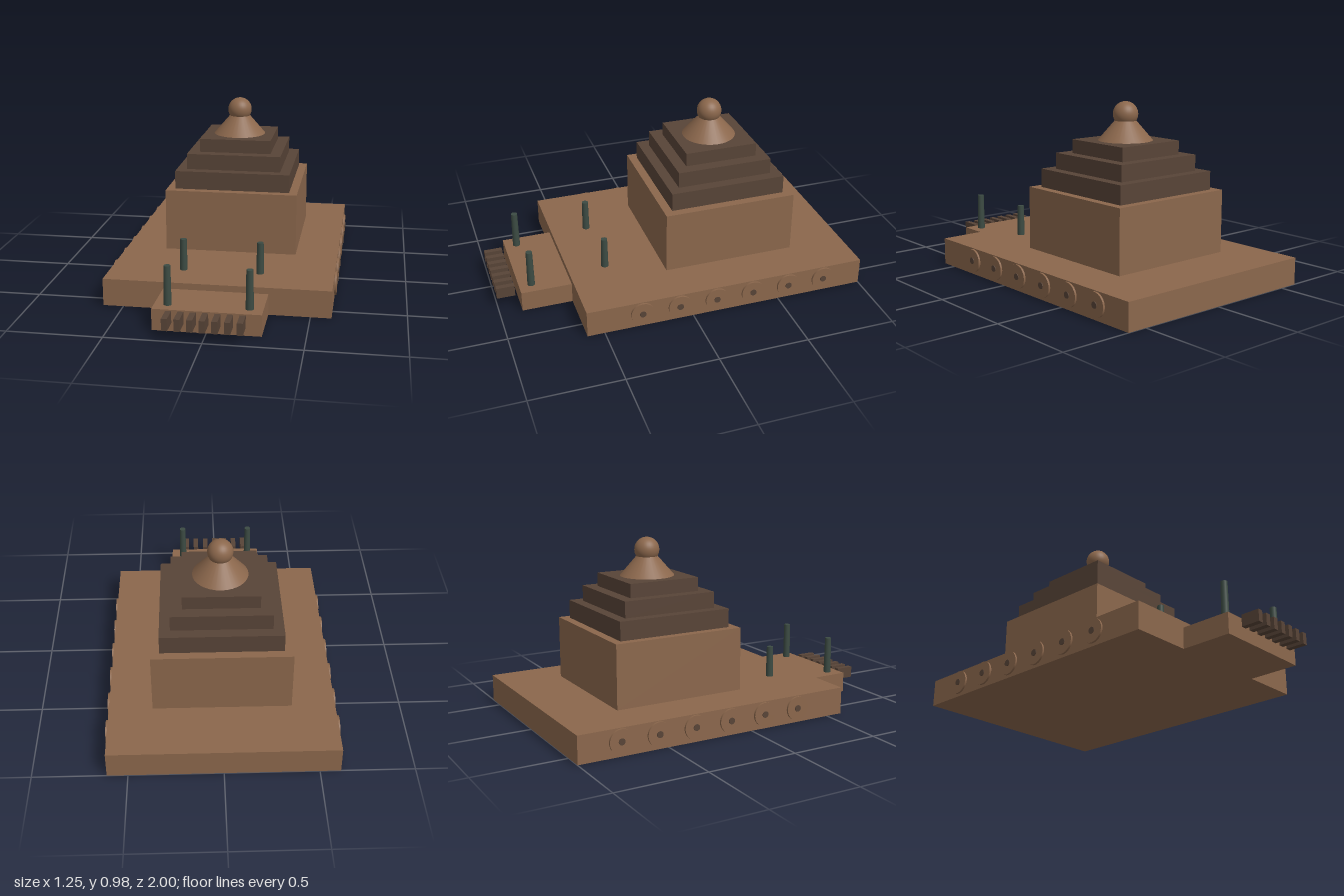
import * as THREE from 'three';

const brown = new THREE.MeshStandardMaterial({ color: 0x8b674c });
const dark = new THREE.MeshStandardMaterial({ color: 0x584437 });
const green = new THREE.MeshStandardMaterial({ color: 0x3c4b43 });

export function createModel() {
  const root = new THREE.Group();

  const add = (name, geometry, material, x, y, z) => {
    const mesh = new THREE.Mesh(geometry, material);
    mesh.name = name;
    mesh.position.set(x, y, z);
    root.add(mesh);
    return mesh;
  };
  // Box given by its width, bottom, top, back and front
  const block = (name, material, w, y0, y1, z0, z1, x = 0) =>
    add(name, new THREE.BoxGeometry(w, y1 - y0, z1 - z0), material, x, (y0 + y1) / 2, (z0 + z1) / 2);

  // Base platform and lower porch
  block('platform', brown, 1.22, 0, 0.15, -1, 0.595);
  block('porch', brown, 0.56, 0, 0.115, 0.595, 0.876);

  // Row of small blocks in front of the porch
  for (let i = -3; i <= 3; i++) block('frontBlock', dark, 0.03, 0.054, 0.118, 0.898, 1, i * 0.0625);

  // Shrine hall with stepped roof
  const cz = -0.298;
  block('hall', brown, 0.748, 0.156, 0.505, cz - 0.374, cz + 0.374);
  const tiers = [[0.327, 0.505, 0.608], [0.269, 0.608, 0.697], [0.205, 0.697, 0.773]];
  for (const [h, y0, y1] of tiers) block('roofTier', dark, h * 2, y0, y1, cz - h, cz + h);

  // Conical cap and finial ball
  add('cap', new THREE.CylinderGeometry(0.058, 0.15, 0.107, 32), brown, 0, 0.8265, cz);
  add('finial', new THREE.SphereGeometry(0.069, 32, 20), brown, 0, 0.915, cz);

  for (const side of [-1, 1]) {
    // Slightly tapered pillars on porch and platform
    for (const [z, y0] of [[0.807, 0.115], [0.386, 0.15]]) {
      const h = 0.325 - y0;
      add('pillar', new THREE.CylinderGeometry(0.018, 0.021, h, 12), green, side * 0.21, y0 + h / 2, z);
    }
    // Wheel discs with hubs along the sides
    for (let i = 0; i < 6; i++) {
      const z = 0.29 - i * 0.2115;
      add('wheel', new THREE.CylinderGeometry(0.065, 0.065, 0.016, 32), brown, side * 0.613, 0.081, z).rotation.z = Math.PI / 2;
      add('hub', new THREE.CylinderGeometry(0.018, 0.018, 0.02, 16), dark, side * 0.615, 0.081, z).rotation.z = Math.PI / 2;
    }
  }
  return root;
}
